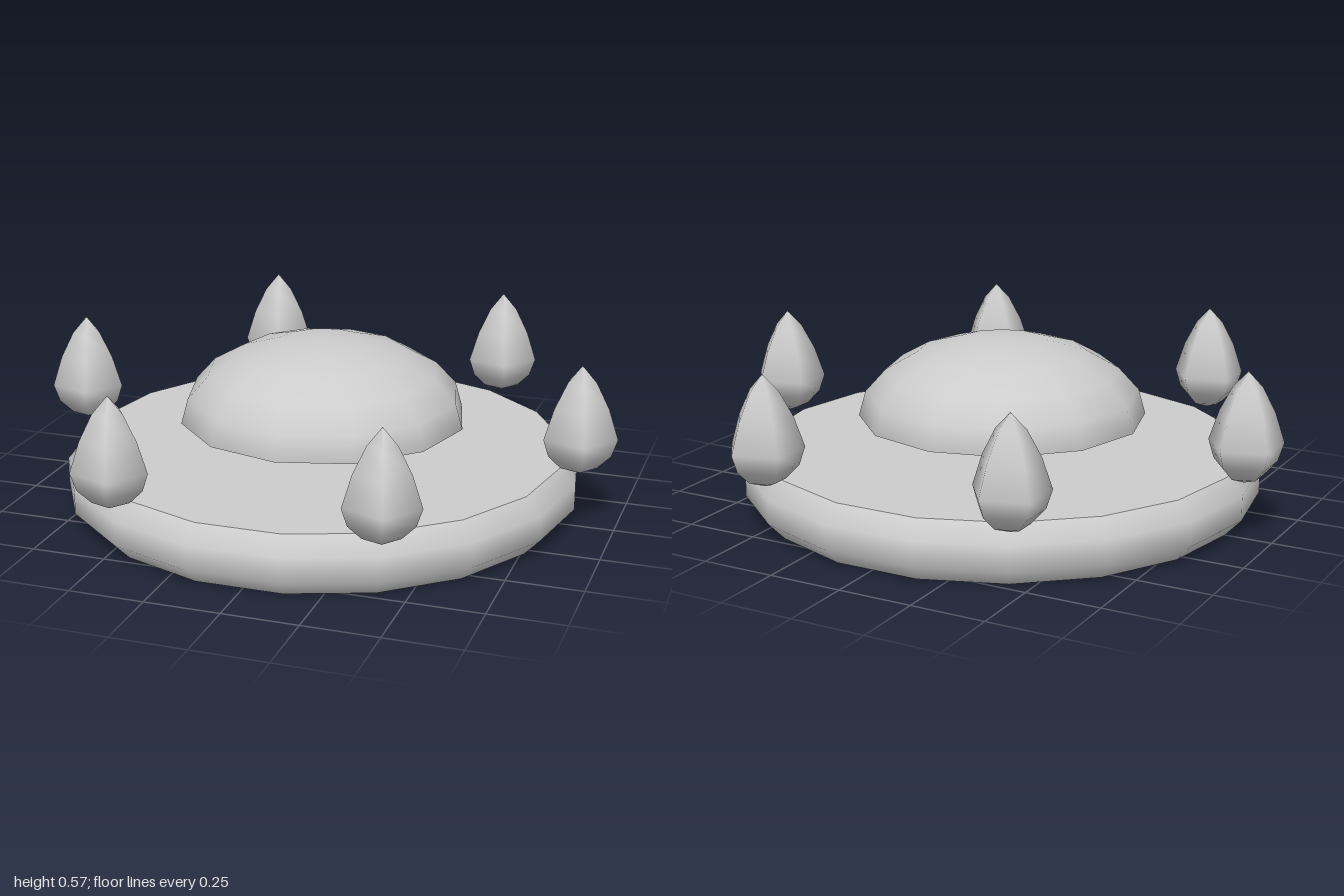
import * as THREE from 'three';

const CENTRE_X = -0.014;

// Lathe of [radius, height] pairs, first corner on the +x axis
function lathe(name, profile, sides, material) {
  const points = profile.map(([r, y]) => new THREE.Vector2(r, y));
  const mesh = new THREE.Mesh(new THREE.LatheGeometry(points, sides, Math.PI / 2), material);
  mesh.name = name;
  return mesh;
}

export function createModel() {
  const model = new THREE.Group();
  model.name = 'saucer';
  const body = new THREE.MeshStandardMaterial({ color: 0xcccccc });
  body.name = 'light grey';
  const shell = new THREE.MeshStandardMaterial({ color: 0xcccccc, side: THREE.DoubleSide });
  shell.name = 'light grey shell';

  // Hull: bevelled rim closed by two flat discs
  const hull = new THREE.Group();
  hull.name = 'hull';
  hull.position.x = CENTRE_X;
  hull.add(lathe('rim', [[0.825, 0], [0.88, 0.058], [0.88, 0.142], [0.825, 0.198]], 18, body));
  for (const [name, y, tilt] of [['deck', 0.198, -1], ['underside', 0, 1]]) {
    const disc = new THREE.Mesh(new THREE.CircleGeometry(0.825, 18), body);
    disc.name = name;
    disc.rotation.x = tilt * Math.PI / 2;
    disc.position.y = y;
    hull.add(disc);
  }
  model.add(hull);

  // Open dome hovering above the deck
  const dome = new THREE.Mesh(
    new THREE.SphereGeometry(0.49, 12, 5, 0, Math.PI * 2, 0, Math.PI / 2), shell);
  dome.name = 'dome';
  dome.scale.y = 0.275 / 0.49;
  dome.position.set(CENTRE_X, 0.295, 0);
  model.add(dome);

  // Six five-sided teardrop lamps around the rim, all facing the same way
  const drop = [[0, 0.19], [0.063, 0.213], [0.108, 0.258], [0.128, 0.318],
    [0.094, 0.42], [0.05, 0.505], [0, 0.56]];
  for (let i = 0; i < 6; i++) {
    const angle = i * Math.PI / 3;
    const lamp = lathe('lamp' + (i + 1), drop, 5, body);
    lamp.position.set(CENTRE_X + 0.884 * Math.cos(angle), 0, 0.884 * Math.sin(angle));
    model.add(lamp);
  }
  return model;
}
